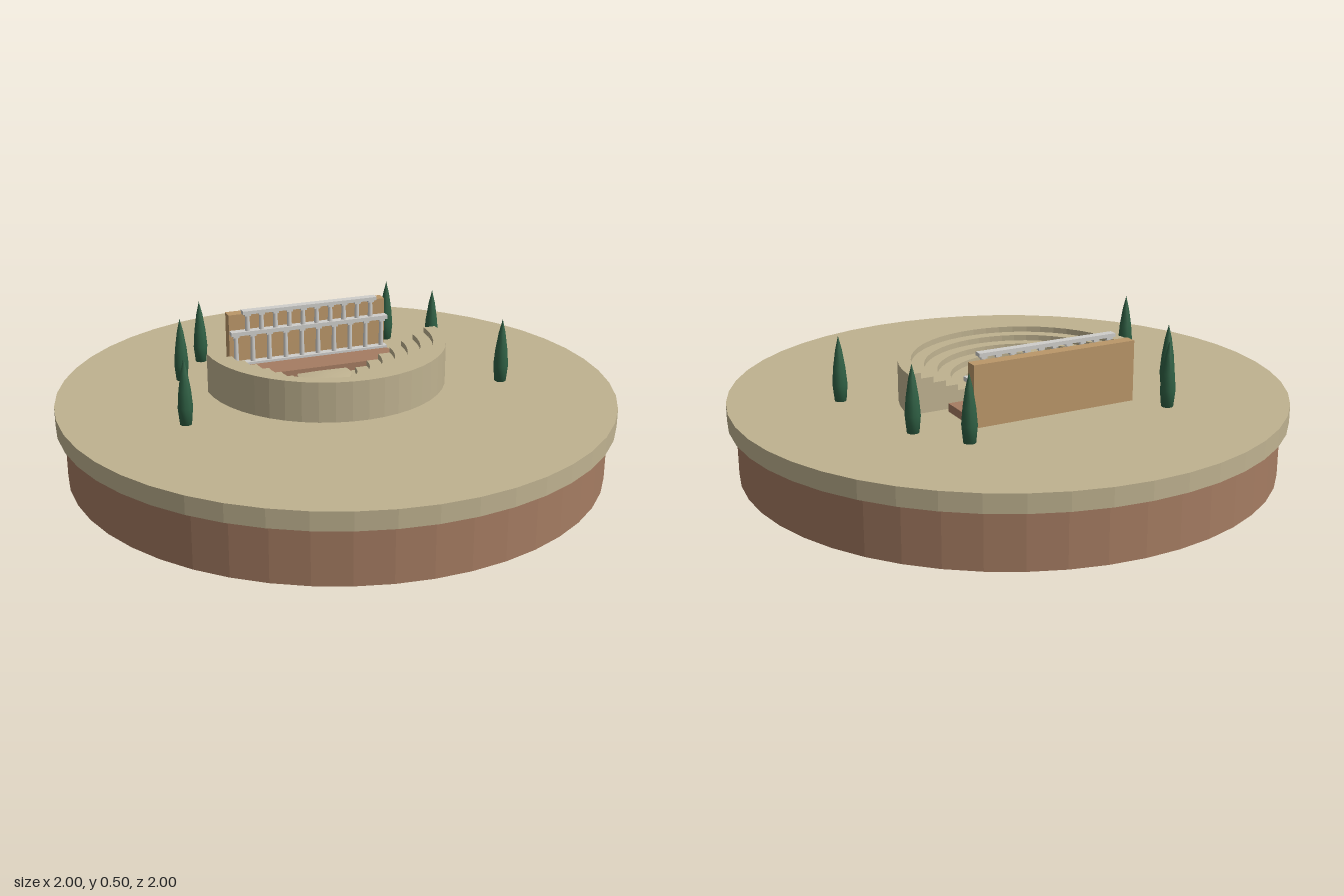
import * as THREE from 'three';

const mat = (name, color) => Object.assign(new THREE.MeshStandardMaterial({ color }), { name });

// Faceted normals for a geometry
function flat(geometry) {
  const g = geometry.index ? geometry.toNonIndexed() : geometry;
  g.computeVertexNormals();
  return g;
}

export function createModel() {
  const model = new THREE.Group();
  model.name = 'ancientTheatre';

  const sand = mat('sandstone', 0xbfb290);
  const soil = mat('brownEarth', 0xa57c62);
  const ochre = mat('ochreWall', 0xbb9769);
  const marble = mat('paleMarble', 0xcfcecb);
  const green = mat('cypressGreen', 0x2f6044);

  const add = (parent, name, geometry, material, x = 0, y = 0, z = 0) => {
    const mesh = new THREE.Mesh(geometry, material);
    mesh.name = name;
    mesh.position.set(x, y, z);
    parent.add(mesh);
    return mesh;
  };

  // Round base
  const GROUND = 0.265;
  add(model, 'earthBase', flat(new THREE.CylinderGeometry(0.97, 0.97, 0.2, 48)), soil, 0, 0.1, 0);
  add(model, 'groundDisc', flat(new THREE.CylinderGeometry(1, 1, 0.065, 48)), sand, 0, 0.2325, 0);

  // Theatre, turned on the base
  const theatre = new THREE.Group();
  theatre.name = 'theatre';
  theatre.position.set(0.042, GROUND, -0.115);
  theatre.rotation.y = -THREE.MathUtils.degToRad(20);
  model.add(theatre);

  // Stepped seating: a half-turn of a stair profile, closed by two end walls
  const TIERS = 7, INNER = 0.122, OUTER = 0.444, HEIGHT = 0.145;
  const run = (OUTER - INNER) / TIERS, rise = HEIGHT / TIERS;
  const profile = [new THREE.Vector2(OUTER, 0)];
  for (let i = TIERS; i > 0; i--) {
    profile.push(new THREE.Vector2(INNER + i * run, i * rise));
    profile.push(new THREE.Vector2(INNER + (i - 1) * run, i * rise));
  }
  profile.push(new THREE.Vector2(INNER, 0));
  add(theatre, 'seatingTiers',
    flat(new THREE.LatheGeometry(profile, 24, -Math.PI / 2, Math.PI)), sand);
  for (const side of [-1, 1]) {
    const outline = new THREE.Shape(profile.map(p => new THREE.Vector2(p.x * side, p.y)));
    add(theatre, 'seatingEndWall', new THREE.ShapeGeometry(outline).rotateY(Math.PI), sand);
  }

  // Orchestra floor with softly rounded rim
  const floor = [[0.1, 0], [0.1, 0.014], [0, 0.016]].map(p => new THREE.Vector2(...p));
  add(theatre, 'orchestraFloor', new THREE.LatheGeometry(floor, 32), sand);

  // Stage and back wall
  add(theatre, 'stage', new THREE.BoxGeometry(0.62, 0.03, 0.16), soil, 0, 0.015, -0.107);
  add(theatre, 'backWall', new THREE.BoxGeometry(0.62, 0.218, 0.044), ochre, 0, 0.109, -0.2);

  // Two storeys of columns, each under a beam
  const COLUMNS_Z = -0.158;
  const colonnade = (name, half, y0, y1, beam) => {
    const group = new THREE.Group();
    group.name = name;
    theatre.add(group);
    const h = y1 - y0, count = 10, reach = half - 0.02;
    const shaft = new THREE.CylinderGeometry(0.008, 0.01, h, 8);
    const capital = new THREE.BoxGeometry(0.023, 0.008, 0.023);
    for (let i = 0; i < count; i++) {
      const x = -reach + (2 * reach * i) / (count - 1);
      add(group, 'column', shaft, marble, x, y0 + h / 2, COLUMNS_Z);
      add(group, 'capital', capital, marble, x, y1 - 0.004, COLUMNS_Z);
    }
    add(group, 'beam', new THREE.BoxGeometry(half * 2, beam, 0.03), marble, 0, y1 + beam / 2, COLUMNS_Z);
  };
  add(theatre, 'plinth', new THREE.BoxGeometry(0.62, 0.009, 0.03), marble, 0, 0.0345, COLUMNS_Z);
  colonnade('lowerColonnade', 0.31, 0.039, 0.145, 0.015);
  colonnade('upperColonnade', 0.264, 0.16, 0.225, 0.013);

  // Cypress trees
  const treeProfile = [[0, 0], [0.021, 0], [0.027, 0.06], [0.022, 0.12], [0.012, 0.185], [0, 0.235]]
    .map(p => new THREE.Vector2(...p));
  const treeGeometry = new THREE.LatheGeometry(treeProfile, 10);
  const trees = [[-0.203, -0.556], [-0.374, -0.433], [0.513, -0.294],
    [0.567, -0.091], [-0.604, -0.072], [0.508, 0.332]];
  for (const [x, z] of trees) add(model, 'cypress', treeGeometry, green, x, GROUND, z);

  return model;
}
